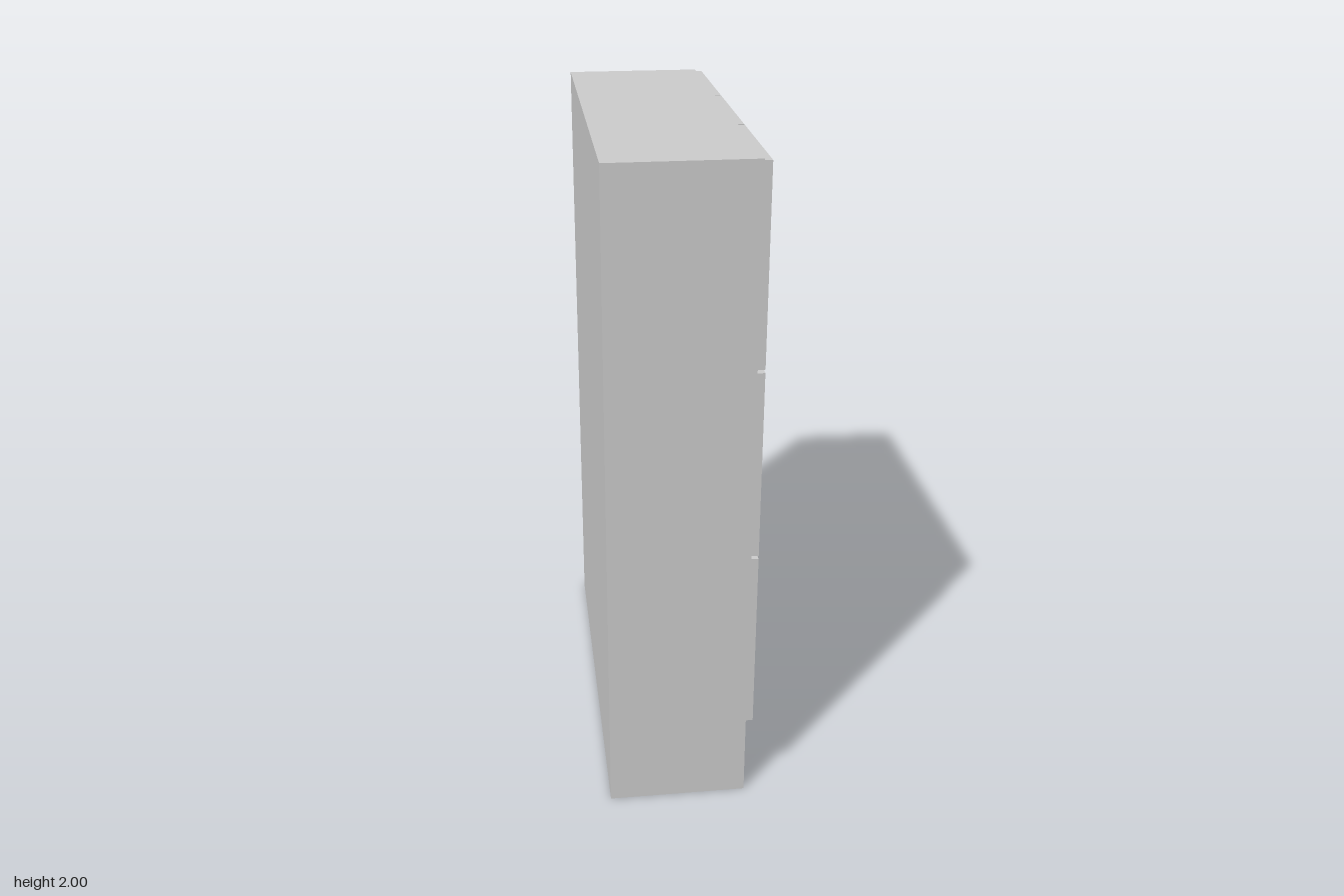
import * as THREE from 'three';

const material = new THREE.MeshStandardMaterial({ color: 0xcccccc });

// Box given by its lower and upper limits on each axis
function block(name, [x0, x1], [y0, y1], [z0, z1]) {
  const mesh = new THREE.Mesh(new THREE.BoxGeometry(x1 - x0, y1 - y0, z1 - z0), material);
  mesh.position.set((x0 + x1) / 2, (y0 + y1) / 2, (z0 + z1) / 2);
  mesh.name = name;
  return mesh;
}

export function createModel() {
  const group = new THREE.Group();
  group.name = 'cabinet';

  const back = -0.22, front = 0.198, doorFace = 0.22;
  const half = 0.628, inner = 0.6, kickTop = 0.245, kickFace = 0.14;

  // Side panels run down to the floor
  group.add(block('sidePanelA', [back, front], [0, 2], [inner, half]));
  group.add(block('sidePanelB', [back, front], [0, 2], [-half, -inner]));

  // Carcass between them, notched at the foot for the recessed kickboard
  const profile = new THREE.Shape([
    [back, 0], [kickFace, 0], [kickFace, kickTop], [front, kickTop], [front, 2], [back, 2],
  ].map(([x, y]) => new THREE.Vector2(x, y)));
  const carcass = new THREE.Mesh(
    new THREE.ExtrudeGeometry(profile, { depth: inner * 2, bevelEnabled: false }), material);
  carcass.position.z = -inner;
  carcass.name = 'carcass';
  group.add(carcass);

  // Three by three door fronts with narrow gaps
  const columns = [[-0.625, -0.215], [-0.205, 0.205], [0.215, 0.625]];
  const rows = [[0.26, 0.832], [0.842, 1.413], [1.423, 1.995]];
  const doors = new THREE.Group();
  doors.name = 'doors';
  for (const row of rows) {
    for (const column of columns) doors.add(block('door', [front, doorFace], row, column));
  }
  group.add(doors);

  return group;
}
